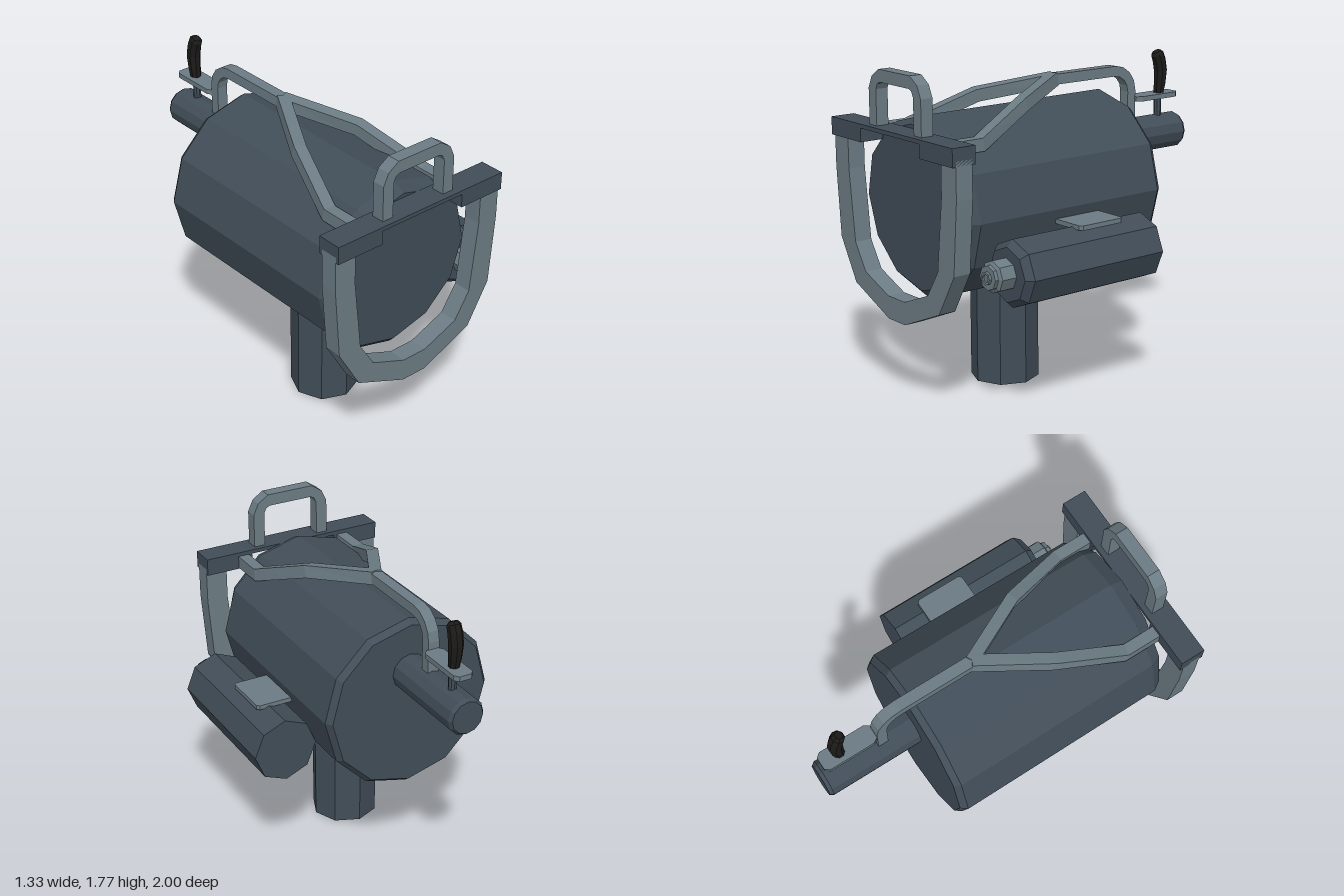
import * as THREE from 'three';

const CX = -0.12; // centre line of the drum and frame
const paint = (color) => new THREE.MeshStandardMaterial({ color, flatShading: true, roughness: 0.8 });

export function createModel() {
  const model = new THREE.Group();
  const dark = paint(0x414d58), steel = paint(0x6c7c84), black = paint(0x1c1b1a);

  function add(name, geometry, material, x = 0, y = 0, z = 0) {
    const mesh = new THREE.Mesh(geometry, material);
    mesh.name = name;
    mesh.position.set(x, y, z);
    model.add(mesh);
    return mesh;
  }

  // Faceted round body along z from [radius, z] pairs, listed back to front
  const turned = (profile, sides) => new THREE.LatheGeometry(
    profile.map(([r, z]) => new THREE.Vector2(r, z)), sides).rotateX(Math.PI / 2);

  // Flat outline in xy, extruded from z0 to z1
  const plate = (outline, z0, z1) => new THREE.ExtrudeGeometry(
    new THREE.Shape(outline.map(([x, y]) => new THREE.Vector2(x, y))),
    { depth: z1 - z0, bevelEnabled: false }).translate(0, 0, z0);

  // Half an outline mirrored about the centre line
  const mirrored = (half) => [
    ...half.map(([x, y]) => [CX - x, y]),
    ...[...half].reverse().map(([x, y]) => [CX + x, y])];

  // Capped bar with a regular section, following a path
  function sweep(path, w, d, sides = 4, scales = []) {
    const pts = path.map((p) => new THREE.Vector3(...p));
    const pos = [], index = [], last = pts.length - 1;
    pts.forEach((p, i) => {
      const t = pts[Math.min(i + 1, last)].clone().sub(p).normalize()
        .add(p.clone().sub(pts[Math.max(i - 1, 0)]).normalize()).normalize();
      const side = new THREE.Vector3(1, 0, 0).addScaledVector(t, -t.x).normalize();
      const up = t.clone().cross(side);
      const k = (scales[i] ?? 1) / (2 * Math.cos(Math.PI / sides));
      for (let j = 0; j < sides; j++) {
        const a = ((j + 0.5) / sides) * Math.PI * 2;
        const v = p.clone().addScaledVector(side, Math.cos(a) * w * k)
          .addScaledVector(up, Math.sin(a) * d * k);
        pos.push(v.x, v.y, v.z);
        if (i < last) {
          const q = i * sides + j, r = i * sides + (j + 1) % sides;
          index.push(q, r, r + sides, q, r + sides, q + sides);
        }
      }
    });
    for (let j = 1; j < sides - 1; j++) {
      const e = last * sides;
      index.push(0, j + 1, j, e, e + j, e + j + 1);
    }
    const g = new THREE.BufferGeometry();
    g.setAttribute('position', new THREE.Float32BufferAttribute(pos, 3));
    g.setIndex(index);
    const flat = g.toNonIndexed();
    flat.computeVertexNormals();
    return flat;
  }

  // Main drum, its front face leaning slightly forward at the top
  const drum = turned([[0, -0.45], [0.465, -0.45], [0.492, -0.415], [0.486, 0.785], [0.45, 0.84], [0, 0.84]], 12);
  const dp = drum.attributes.position;
  for (let i = 0; i < dp.count; i++) {
    if (dp.getZ(i) > 0.8) dp.setZ(i, dp.getZ(i) + 0.045 * dp.getY(i));
  }
  add('drum', drum, dark, CX, 1.04, 0);

  // Supporting post and rear tube
  add('post', new THREE.CylinderGeometry(0.188, 0.188, 0.66, 8), dark, CX, 0.33, 0.268);
  add('rearTube', turned([[0, -1], [0.09, -1], [0.104, -0.98], [0.104, -0.4], [0, -0.4]], 12), dark, -0.115, 1.235, 0);

  // Side canister with its stepped nozzle and mounting clip
  add('sideCanister', turned([[0, -0.185], [0.18, -0.185], [0.18, 0.68], [0.145, 0.718], [0, 0.718]], 8), dark, 0.485, 0.793, 0);
  add('nozzle', turned([[0.085, 0.7], [0.085, 0.805], [0.065, 0.815], [0.065, 0.835], [0.035, 0.835],
    [0.035, 0.85], [0.022, 0.85], [0.022, 0.84], [0, 0.84]], 8), steel, 0.478, 0.797, 0);
  const clip = plate([[0.34, -0.29], [0.54, -0.29], [0.555, -0.275], [0.555, -0.015], [0.54, 0], [0.34, 0]], 0, 0.025);
  add('canisterClip', clip.rotateX(-Math.PI / 2), steel, 0, 0.962, 0);

  // U-shaped front guard
  const outer = [[0.075, 0.45], [0.382, 0.58], [0.515, 0.81], [0.545, 1.2], [0.545, 1.4]];
  const inner = [[0.42, 1.4], [0.42, 1.2], [0.377, 0.805], [0.285, 0.66], [0.075, 0.575]];
  add('frontGuard', plate([
    ...[...outer].reverse().map(([x, y]) => [CX - x, y]), ...outer.map(([x, y]) => [CX + x, y]),
    ...inner.map(([x, y]) => [CX + x, y]), ...[...inner].reverse().map(([x, y]) => [CX - x, y]),
  ], 0.88, 0.98), steel);

  // Crossbar, cut away underneath between its ends
  add('crossbar', plate(mirrored([[0.265, 1.445], [0.265, 1.37], [0.545, 1.37], [0.545, 1.467]]), 0.86, 1), dark);

  // Carry handle on the crossbar
  const arch = [[0.233, 1.46], [0.233, 1.66], [0.203, 1.725], [0.14, 1.767]];
  const archInner = [[0.13, 1.7], [0.152, 1.69], [0.167, 1.66], [0.167, 1.46]];
  add('carryHandle', plate([
    ...arch.map(([x, y]) => [CX - x, y]), ...[...arch].reverse().map(([x, y]) => [CX + x, y]),
    ...[...archInner].reverse().map(([x, y]) => [CX + x, y]), ...archInner.map(([x, y]) => [CX - x, y]),
  ], 0.89, 0.962), steel);

  // Forked top rod: two arms joining a single stem that bends down to the rear tube
  for (const s of [-1, 1]) {
    add(s < 0 ? 'rightForkArm' : 'leftForkArm', sweep([
      [CX + s * 0.318, 1.41, 0.88], [CX + s * 0.318, 1.41, 0.665],
      [CX + s * 0.2, 1.555, 0.295], [CX, 1.625, -0.08]], 0.066, 0.07), steel);
  }
  const stem = [[CX, 1.625, -0.05], [CX, 1.625, -0.51]];
  for (let i = 1; i <= 4; i++) {
    const a = (i / 4) * Math.PI / 2;
    stem.push([CX, 1.5 + 0.125 * Math.cos(a), -0.51 - 0.125 * Math.sin(a)]);
  }
  stem.push([CX, 1.31, -0.635]);
  add('rodStem', sweep(stem, 0.064, 0.058), steel);

  // Lever: chamfered plate, stalk and curved grip
  const lever = plate([[-0.145, 0.66], [-0.075, 0.66], [-0.055, 0.69], [-0.055, 0.95],
    [-0.075, 0.975], [-0.145, 0.975], [-0.165, 0.95], [-0.165, 0.69]], 0, 0.028);
  add('leverPlate', lever.rotateX(-Math.PI / 2), steel, 0, 1.437, 0);
  add('leverStalk', new THREE.CylinderGeometry(0.022, 0.022, 0.15, 8), dark, -0.11, 1.375, -0.858);
  add('leverGrip', sweep([
    [-0.11, 1.455, -0.865], [-0.11, 1.52, -0.874], [-0.11, 1.59, -0.879],
    [-0.11, 1.65, -0.868], [-0.11, 1.69, -0.852], [-0.11, 1.705, -0.845],
  ], 0.072, 0.074, 8, [0.75, 0.9, 1, 1, 0.95, 0.6]), black);

  return model;
}
